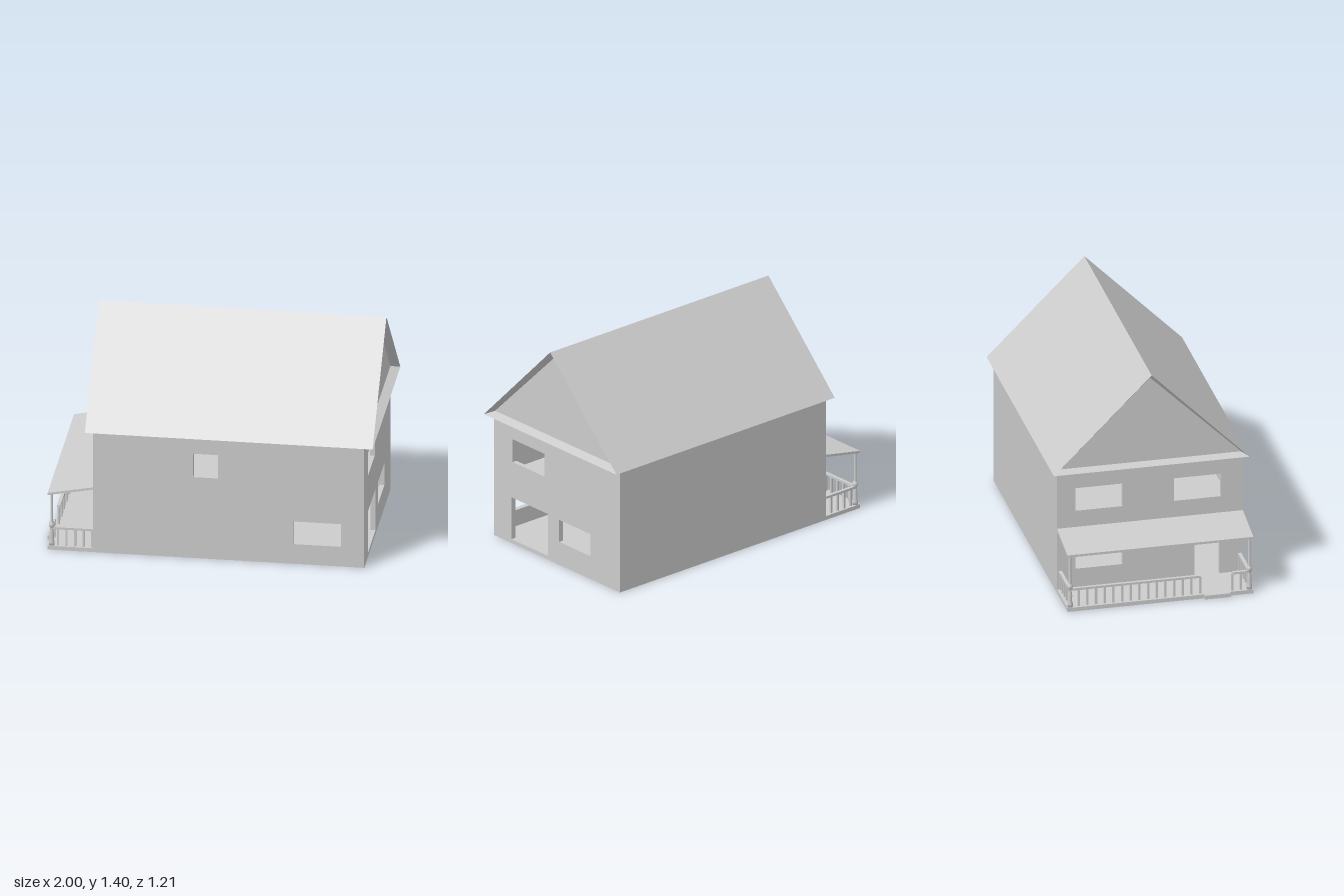
import * as THREE from 'three';

const mat = new THREE.MeshStandardMaterial({ color: 0xcccccc });
const T = 0.03; // wall thickness

function add(parent, name, geo, x = 0, y = 0, z = 0) {
  const m = new THREE.Mesh(geo, mat);
  m.name = name;
  m.position.set(x, y, z);
  parent.add(m);
  return m;
}

// Box given by its limits on each axis
function box(parent, name, [x0, x1], [y0, y1], [z0, z1]) {
  return add(parent, name, new THREE.BoxGeometry(x1 - x0, y1 - y0, z1 - z0),
    (x0 + x1) / 2, (y0 + y1) / 2, (z0 + z1) / 2);
}

// Wall panel from u0 to u1 with openings [u0, u1, v0, v1]
function panel(u0, u1, openings) {
  const rect = (P, a, b, c, d) => new P([[a, c], [b, c], [b, d], [a, d]].map(p => new THREE.Vector2(...p)));
  const s = rect(THREE.Shape, u0, u1, 0, 0.8);
  openings.forEach(o => s.holes.push(rect(THREE.Path, ...o)));
  return new THREE.ExtrudeGeometry(s, { depth: T, bevelEnabled: false });
}

// Triangular rings lofted along x; the end rings are set in to recess the gables
function roofGeometry() {
  const rings = [[0.945, 0.565, 0.82, 1.37], [1, 0.605, 0.8, 1.405],
    [-0.75, 0.605, 0.8, 1.405], [-0.705, 0.565, 0.82, 1.37]]
    .map(([x, w, lo, hi]) => [[x, lo, w], [x, hi, 0], [x, lo, -w]]);
  const pos = [];
  const tri = (...p) => p.forEach(v => pos.push(...v));
  for (let i = 0; i < 3; i++) {
    for (let k = 0; k < 3; k++) {
      const n = (k + 1) % 3, a = rings[i], b = rings[i + 1];
      tri(a[k], a[n], b[k]);
      tri(a[n], b[n], b[k]);
    }
  }
  tri(rings[0][0], rings[0][2], rings[0][1]);
  tri(...rings[3]);
  const g = new THREE.BufferGeometry();
  g.setAttribute('position', new THREE.Float32BufferAttribute(pos, 3));
  g.computeVertexNormals();
  return g;
}

function buildHouse() {
  const g = new THREE.Group();
  g.name = 'house';
  add(g, 'frontWall', panel(-0.705, 0.945, [
    [-0.095, 0.055, 0.535, 0.69], [0.515, 0.805, 0.13, 0.28]]), 0, 0, 0.575 - T);
  add(g, 'backWall', panel(-0.705, 0.945, []), 0, 0, -0.575);
  const side = 0.575 - T;
  // Side walls run along z between the front and back walls
  add(g, 'doorWall', panel(-side, side, [
    [0.08, 0.415, 0.025, 0.3], [-0.305, -0.02, 0.15, 0.295],
    [0.115, 0.405, 0.535, 0.685]]).rotateY(-Math.PI / 2), 0.945);
  add(g, 'porchWall', panel(-side, side, [
    [0.275, 0.43, 0.025, 0.3], [-0.46, -0.17, 0.15, 0.295],
    [-0.46, -0.17, 0.535, 0.685], [0.15, 0.44, 0.535, 0.685]]).rotateY(-Math.PI / 2), -0.705 + T);
  // Interior
  const inX = [-0.705 + T, 0.945 - T];
  box(g, 'groundFloor', inX, [0, 0.025], [-side, side]);
  box(g, 'upperFloor', inX, [0.385, 0.41], [-side, side]);
  box(g, 'upperPartition', [0.2, 0.23], [0.41, 0.8], [-side, side]);
  for (let i = 0; i < 8; i++) {
    const x = 0.745 - i * 0.065, y = 0.07 + i * 0.04;
    box(g, 'stairTread', [x - 0.075, x], [y - 0.01, y], [-side, -0.32]);
  }
  add(g, 'roof', roofGeometry());
  return g;
}

function buildPorch() {
  const g = new THREE.Group();
  g.name = 'porch';
  box(g, 'deck', [-0.98, -0.705], [0, 0.025], [-0.575, 0.575]);
  box(g, 'doorStep', [-1, -0.98], [0, 0.025], [0.27, 0.43]);

  // Sloping slab roof
  const s = new THREE.Shape([[-0.98, 0.36], [-0.705, 0.413], [-0.705, 0.428], [-0.98, 0.375]]
    .map(p => new THREE.Vector2(...p)));
  add(g, 'porchRoof', new THREE.ExtrudeGeometry(s, { depth: 1.15, bevelEnabled: false }), 0, 0, -0.575);

  // Turned corner posts
  const profile = [[0, 0], [0.017, 0], [0.017, 0.02], [0.012, 0.04], [0.014, 0.07], [0.01, 0.1],
    [0.009, 0.112], [0.016, 0.122], [0.018, 0.134], [0.015, 0.146], [0.008, 0.156],
    [0.008, 0.33], [0.011, 0.333], [0.011, 0.34]].map(p => new THREE.Vector2(...p));
  const post = new THREE.LatheGeometry(profile, 16);
  for (const z of [-0.555, 0.555]) add(g, 'porchPost', post, -0.958, 0.025, z);

  // Railings along the front edge, leaving a gap at the step, and along both ends
  const baluster = new THREE.BoxGeometry(0.013, 0.11, 0.013);
  for (const [z0, z1, n] of [[-0.555, 0.25, 15], [0.45, 0.555, 2]]) {
    box(g, 'frontRail', [-0.968, -0.948], [0.132, 0.146], [z0, z1]);
    for (let i = 0; i <= n; i++) add(g, 'baluster', baluster, -0.958, 0.08, z0 + (z1 - z0) * i / n);
  }
  for (const z of [-0.555, 0.555]) {
    box(g, 'endRail', [-0.958, -0.705], [0.132, 0.146], [z - 0.01, z + 0.01]);
    for (let i = 0; i < 5; i++) add(g, 'baluster', baluster, -0.712 - i * 0.052, 0.08, z);
  }
  return g;
}

export function createModel() {
  const model = new THREE.Group();
  model.name = 'houseWithPorch';
  model.add(buildHouse(), buildPorch());
  return model;
}
